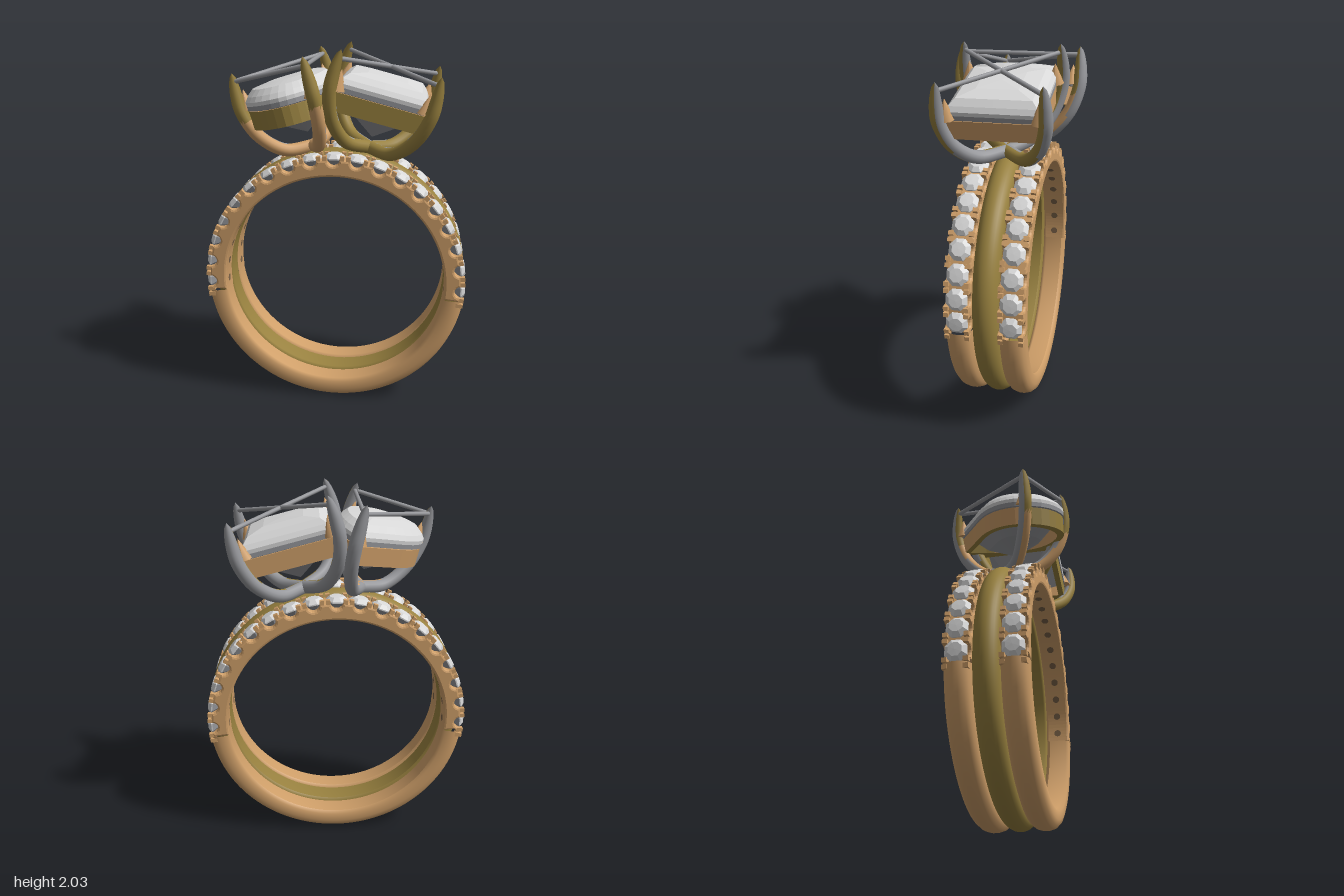
import * as THREE from 'three';
import { mergeGeometries } from 'three/addons/utils/BufferGeometryUtils.js';

const mat = (name, color) => {
  const m = new THREE.MeshStandardMaterial({ color });
  m.name = name;
  return m;
};
const copper = mat('rose gold', 0xcf9f69);
const olive = mat('yellow gold', 0x98813f);
const steel = mat('white metal', 0x96979b);
const gem = mat('clear stone', 0xd8d8d8);
const hole = mat('drilled hole', 0x7a6248);

const RING_Y = 0.736;
const DEG = Math.PI / 180;
const GEM_STEP = 10.2 * DEG;
const GEM_SIDE = 9; // stones each side of the top one

function add(parent, name, geometry, material) {
  const mesh = new THREE.Mesh(geometry, material);
  mesh.name = name;
  parent.add(mesh);
  return mesh;
}

// Faceted loft: the outline [x, z] repeated at levels [scale, y]
function loft(outline, levels) {
  const n = outline.length, pos = [], idx = [];
  for (const [s, y] of levels) for (const [x, z] of outline) pos.push(x * s, y, z * s);
  for (let j = 0; j < levels.length - 1; j++) {
    for (let i = 0; i < n; i++) {
      const a = j * n + i, b = j * n + (i + 1) % n;
      idx.push(a, a + n, b + n, a, b + n, b);
    }
  }
  const g = new THREE.BufferGeometry();
  g.setAttribute('position', new THREE.Float32BufferAttribute(pos, 3));
  g.setIndex(idx);
  const flat = g.toNonIndexed();
  flat.computeVertexNormals();
  return flat;
}

// Sorts triangles into material groups by a rule on face normal and centre
function paint(geometry, rule, count) {
  const g = geometry.index ? geometry.toNonIndexed() : geometry;
  const p = g.attributes.position, nor = g.attributes.normal;
  const lists = Array.from({ length: count }, () => []);
  const v = [0, 1, 2].map(() => new THREE.Vector3()), normal = new THREE.Vector3();
  for (let i = 0; i < p.count; i += 3) {
    v.forEach((q, k) => q.fromBufferAttribute(p, i + k));
    new THREE.Triangle(...v).getNormal(normal);
    lists[rule(normal, (v[0].y + v[1].y + v[2].y) / 3)].push(i, i + 1, i + 2);
  }
  const out = new THREE.BufferGeometry();
  out.setAttribute('position', p);
  out.setAttribute('normal', nor);
  out.setIndex(lists.flat());
  let start = 0;
  lists.forEach((l, k) => { out.addGroup(start, l.length, k); start += l.length; });
  return out;
}

// Ring swept from a closed profile, phi = 0 at the bottom
function sweep(half, segments, start, length) {
  const pts = [...half, ...half.slice().reverse().map(([r, h]) => [r, -h])];
  pts.push(pts[0]);
  return new THREE.LatheGeometry(pts.map(([r, h]) => new THREE.Vector2(r, h)), segments, start, length)
    .rotateX(Math.PI / 2);
}

// Upper part of a stone-set band, notched under each stone
function notchedArc() {
  const pts = [], end = 96.5 * DEG;
  const polar = (r, a) => new THREE.Vector2(r * Math.cos(a), r * Math.sin(a));
  pts.push(polar(0.712, Math.PI / 2 - end));
  for (let k = -GEM_SIDE; k <= GEM_SIDE; k++) {
    const a = Math.PI / 2 + k * GEM_STEP, c = polar(0.712, a);
    const R = polar(1, a), T = polar(1, a + Math.PI / 2);
    for (let t = 0; t <= 8; t++) {
      const w = t / 8 * Math.PI;
      pts.push(c.clone().addScaledVector(T, -0.034 * Math.cos(w)).addScaledVector(R, -0.034 * Math.sin(w)));
    }
  }
  for (let i = 0; i <= 96; i++) pts.push(polar(0.62, Math.PI / 2 + end - i / 96 * 2 * end));
  return new THREE.ExtrudeGeometry(new THREE.Shape(pts), {
    depth: 0.116, bevelThickness: 0.012, bevelSize: 0.012, bevelOffset: -0.012, bevelSegments: 2,
  }).translate(0, 0, -0.058);
}

function stoneBand(z) {
  const band = new THREE.Group();
  band.name = 'stoneBand';
  band.position.set(0, RING_Y, z);
  const profile = [[0.62, -0.05], [0.634, -0.069], [0.68, -0.07], [0.71, -0.06], [0.728, -0.04], [0.736, -0.012]];
  add(band, 'plainLowerArc', sweep(profile, 72, -83.5 * DEG, 167 * DEG), copper);
  add(band, 'notchedUpperArc', notchedArc(), copper);

  const octagon = Array.from({ length: 8 }, (_, i) => {
    const a = (i + 0.5) * Math.PI / 4;
    return [0.061 * Math.cos(a), 0.061 * Math.sin(a)];
  });
  const crowns = [], pavilions = [], claws = [], holes = [];
  const place = (list, g, angle) => list.push(g.rotateZ(angle));
  for (let k = -GEM_SIDE; k <= GEM_SIDE; k++) {
    const a = k * GEM_STEP;
    place(crowns, loft(octagon, [[1, 0.71], [1, 0.717], [0.62, 0.737], [0, 0.738]]), a);
    place(pavilions, loft(octagon, [[0, 0.65], [1, 0.71]]), a);
    place(holes, new THREE.CircleGeometry(0.021, 16).rotateX(Math.PI / 2).translate(0, 0.6185, 0), a);
  }
  // Paired claws between neighbouring stones
  for (let k = -GEM_SIDE - 0.5; k <= GEM_SIDE + 0.5; k++) {
    for (const z of [-0.053, 0.053]) for (const x of [-0.017, 0.017]) {
      place(claws, new THREE.BoxGeometry(0.023, 0.04, 0.026).translate(x, 0.714, z), k * GEM_STEP);
    }
  }
  add(band, 'smallStones', mergeGeometries(crowns), gem);
  add(band, 'smallStoneUndersides', mergeGeometries(pavilions), steel);
  add(band, 'smallClaws', mergeGeometries(claws), copper);
  add(band, 'stoneHoles', mergeGeometries(holes), hole);
  return band;
}

// Curved prong from the base of a head up to a pointed tip
function prongGeometry([tx, tz]) {
  const path = [[0, 0.03], [0.48, 0.055], [0.84, 0.17], [1, 0.31], [1.01, 0.41], [0.98, 0.53]];
  const curve = new THREE.CatmullRomCurve3(path.map(([s, y]) => new THREE.Vector3(tx * s, y, tz * s)));
  const rings = 32, sides = 14;
  const g = new THREE.TubeGeometry(curve, rings, 0.036, sides);
  const p = g.attributes.position, v = new THREE.Vector3();
  for (let i = 0; i < p.count; i++) {
    const t = Math.floor(i / (sides + 1)) / rings;
    const c = curve.getPointAt(t), k = t < 0.76 ? 1 : Math.sqrt(Math.max(0, 1 - ((t - 0.76) / 0.24) ** 1.6));
    v.fromBufferAttribute(p, i).sub(c).multiplyScalar(k).add(c);
    p.setXYZ(i, v.x, v.y, v.z);
  }
  return g;
}

function rod(parent, [ax, az], [bx, bz]) {
  const a = new THREE.Vector3(ax, 0.485, az), b = new THREE.Vector3(bx, 0.485, bz);
  add(parent, 'tipRod', new THREE.TubeGeometry(new THREE.LineCurve3(a, b), 1, 0.012, 10), steel);
}

// Tilted setting: prongs, basket, large stone and rods joining the tips
function head(name, { position, tilt, outline, centre, tips, rods, culet, lowerCopper }) {
  const group = new THREE.Group();
  group.name = name;
  group.position.set(...position);
  group.rotation.z = tilt;
  for (const tip of tips) {
    const rule = (n, y) => (n.z < 0 ? 1 : lowerCopper && y < 0.27 ? 2 : 0);
    add(group, 'prong', paint(prongGeometry(tip), rule, 3), [olive, steel, copper]);
    // Small seat holding the stone against the prong
    const seat = add(group, 'prongSeat', new THREE.ConeGeometry(0.045, 0.11, 8), copper);
    seat.position.set(tip[0] * 0.88, 0.38, tip[1] * 0.88);
  }
  for (const [i, j] of rods) rod(group, tips[i], tips[j]);

  const setting = new THREE.Group();
  setting.name = 'stoneSetting';
  setting.position.set(centre[0], 0, centre[1]);
  group.add(setting);
  const basket = loft(outline, [[0.98, 0.215], [0.98, 0.315], [0.84, 0.315], [0.84, 0.215], [0.98, 0.215]]);
  add(setting, 'basket', paint(basket, n => (n.z > 0.3 || n.y < -0.5 ? 0 : 1), 2), [olive, copper]);
  add(setting, 'largeStone', loft(outline,
    [[1, 0.345], [1, 0.365], [0.93, 0.39], [0.8, 0.42], [0.45, 0.435], [0, 0.438]]), gem);
  add(setting, 'largeStoneUnderside', loft(outline, [[0, culet], [0.5, 0.2], [0.86, 0.31], [1, 0.32], [1, 0.345]]), steel);
  return group;
}

export function createModel() {
  const model = new THREE.Group();
  model.name = 'ring';

  // Three side-by-side bands
  model.add(stoneBand(0.15), stoneBand(-0.13));
  const round = [[0.62, -0.055], [0.634, -0.069], [0.665, -0.07]];
  for (let i = 1; i <= 7; i++) {
    const a = i / 7.5 * Math.PI / 2;
    round.push([0.665 + 0.071 * Math.sin(a), -0.07 * Math.cos(a)]);
  }
  add(model, 'middleBand', sweep(round, 128, 0, Math.PI * 2), olive).position.set(0, RING_Y, 0.01);

  // Square stone head
  const h = 0.24;
  const square = [[h, -h], [h, 0], [h, h], [0, h], [-h, h], [-h, 0], [-h, -h], [0, -h]];
  model.add(head('squareHead', {
    position: [0.168, 1.45, 0.01], tilt: -14.5 * DEG, outline: square, centre: [0, 0],
    tips: [[0.265, 0.265], [-0.265, 0.265], [-0.265, -0.265], [0.265, -0.265]],
    rods: [[0, 2], [1, 3]], culet: 0.09, lowerCopper: false,
  }));

  // Pear stone head
  const pearPoints = [[0.12, -0.36], [0.19, -0.2], [0.215, -0.03], [0.18, 0.15], [0.08, 0.26], [-0.04, 0.3],
    [-0.18, 0.24], [-0.27, 0.1], [-0.27, -0.03], [-0.2, -0.14], [-0.03, -0.26], [0.12, -0.36]];
  const pear = new THREE.CatmullRomCurve3(pearPoints.map(([x, z]) => new THREE.Vector3(x, 0, z)))
    .getPoints(33).slice(0, -1).map(p => [p.x, p.z]);
  model.add(head('pearHead', {
    position: [-0.13, 1.45, 0], tilt: 14.5 * DEG, outline: pear, centre: [0, 0.05],
    tips: [[0.13, 0.325], [0.13, -0.335], [-0.295, 0.17]],
    rods: [[0, 1], [1, 2], [2, 0]], culet: 0.12, lowerCopper: true,
  }));
  return model;
}
